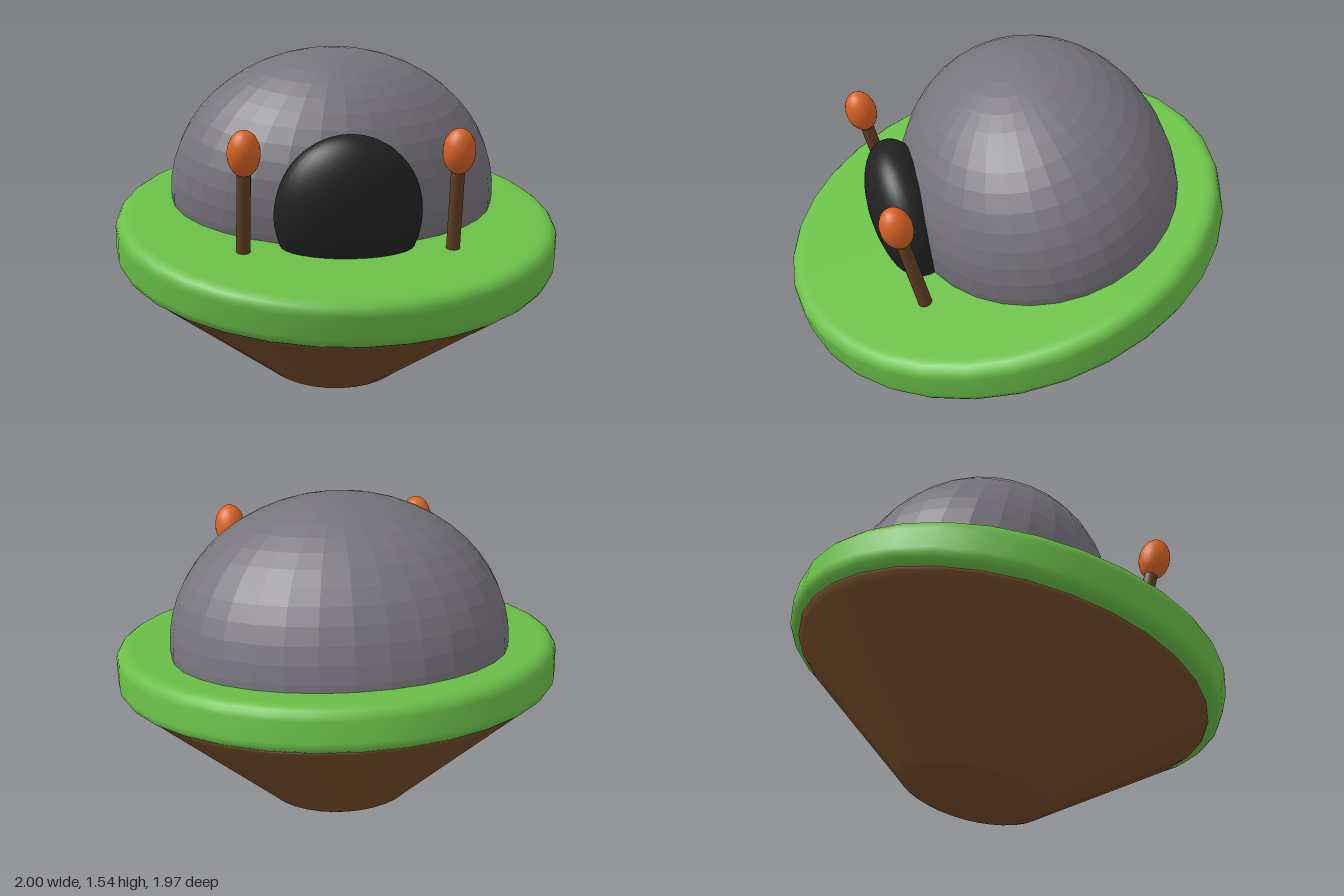
import * as THREE from 'three';

const mat = (name, color, extra = {}) => {
  const m = new THREE.MeshStandardMaterial({ color, ...extra });
  m.name = name;
  return m;
};

export function createModel() {
  const grass = mat('grass green', 0x6abf48);
  const earth = mat('earth brown', 0x734a27);
  const stone = mat('stone grey', 0x77747c, { flatShading: true });
  const black = mat('doorway black', 0x222222);
  const flame = mat('flame orange', 0xd96424);
  const wood = mat('wood brown', 0x633f24);

  const model = new THREE.Group();
  model.name = 'floatingIsland';

  // Everything sits on one tilted frame centred in the grass disc
  const island = new THREE.Group();
  island.name = 'tiltedIsland';
  island.position.y = 0.71;
  island.rotation.x = THREE.MathUtils.degToRad(14);
  model.add(island);

  const add = (name, geometry, material, x = 0, y = 0, z = 0) => {
    const mesh = new THREE.Mesh(geometry, material);
    mesh.name = name;
    mesh.position.set(x, y, z);
    island.add(mesh);
    return mesh;
  };
  const lathe = (points) =>
    new THREE.LatheGeometry(points.map(([r, y]) => new THREE.Vector2(r, y)), 32);
  const ellipsoid = (rx, ry, rz, w, h, part = 1) =>
    new THREE.SphereGeometry(1, w, h, 0, Math.PI * 2, 0, Math.PI * part).scale(rx, ry, rz);

  // Grass disc with a rounded rim
  const rim = [[0, -0.102], [0.93, -0.102]];
  for (let i = 0; i <= 4; i++) {
    const a = (i / 4) * Math.PI / 2;
    rim.push([0.945 + 0.055 * Math.sin(a), -0.047 - 0.055 * Math.cos(a)]);
  }
  const upper = rim.map(([r, y]) => [r, -y]).reverse();
  add('grassDisc', lathe([...rim, ...upper]), grass);

  // Earth cone below, with softened edges
  add('earthCone', lathe([
    [0, -0.65], [0.285, -0.65], [0.305, -0.648], [0.325, -0.638], [0.345, -0.62],
    [0.92, -0.137], [0.942, -0.115], [0.945, -0.1], [0.93, -0.09], [0, -0.09],
  ]), earth);

  // Faceted stone dome, its lower part sunk in the grass
  add('dome', ellipsoid(0.75, 0.65, 0.62, 32, 16, 10 / 16), stone, 0, 0.15, -0.2);

  // Rounded dark doorway bulging from the dome
  add('doorway', ellipsoid(0.32, 0.35, 0.17, 32, 20, 0.7), black, 0, 0.247, 0.392);

  // Torches on both sides of the doorway
  for (const side of [1, -1]) {
    const label = side > 0 ? 'left' : 'right';
    add(label + 'TorchPost', new THREE.CylinderGeometry(0.03, 0.03, 0.42, 16), wood, side * 0.45, 0.28, 0.448);
    add(label + 'TorchFlame', ellipsoid(0.07, 0.1, 0.07, 24, 16), flame, side * 0.45, 0.54, 0.448);
  }

  return model;
}
